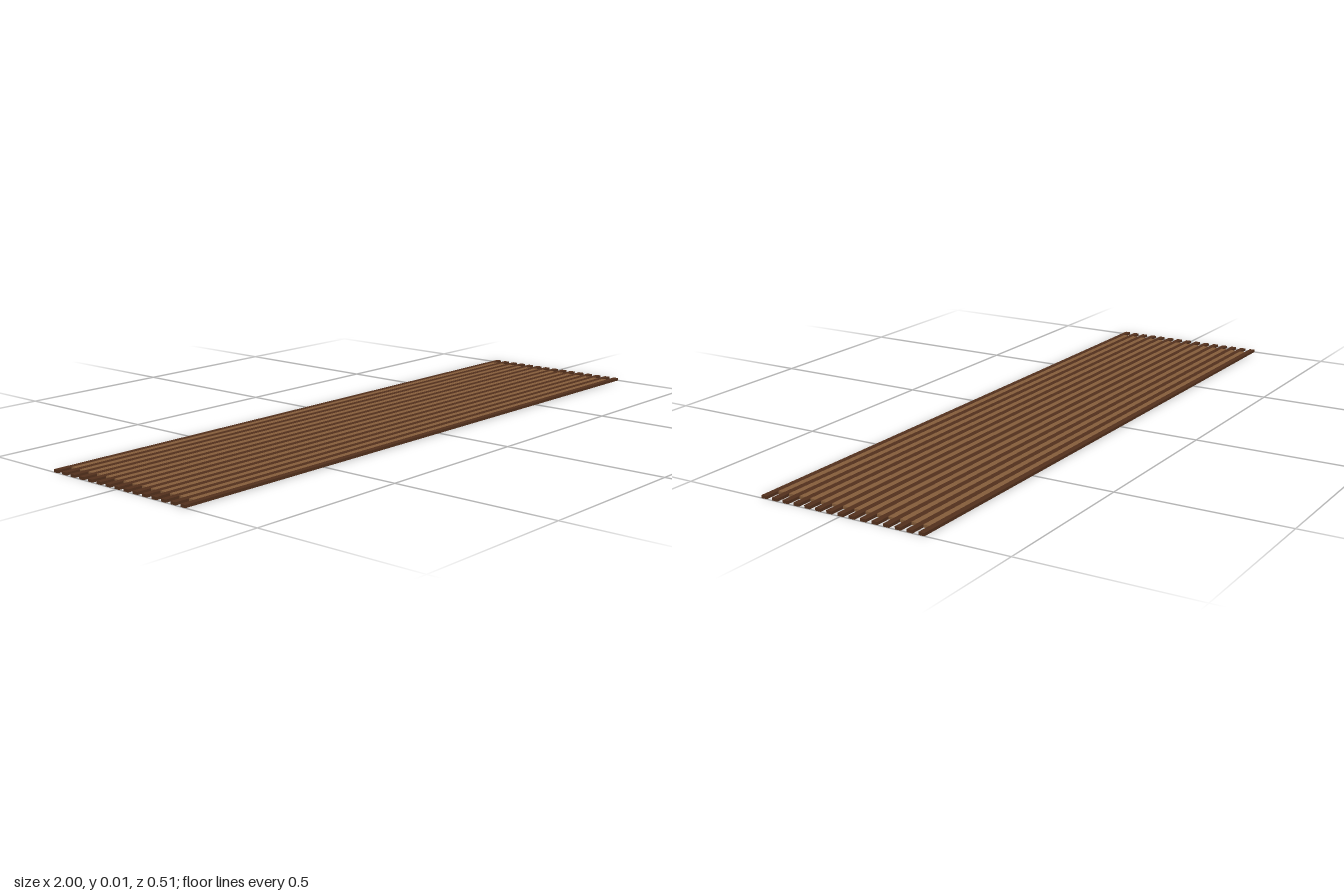
import * as THREE from 'three';

export function createModel() {
  const model = new THREE.Group();
  model.name = 'slattedPanel';
  const dark = new THREE.MeshStandardMaterial({ color: 0x52301c });
  const light = new THREE.MeshStandardMaterial({ color: 0x845c3a });

  const count = 29, depth = 0.51, height = 0.008;
  const width = depth / count;

  // Alternating slats: long dark ones protrude past the shorter light ones
  for (let i = 0; i < count; i++) {
    const isDark = i % 2 === 0;
    const slat = new THREE.Mesh(
      new THREE.BoxGeometry(isDark ? 2 : 1.91, height, width),
      isDark ? dark : light
    );
    slat.name = isDark ? 'longDarkSlat' : 'shortLightSlat';
    slat.position.set(0, height / 2, (i + 0.5) * width - depth / 2);
    model.add(slat);
  }
  return model;
}
